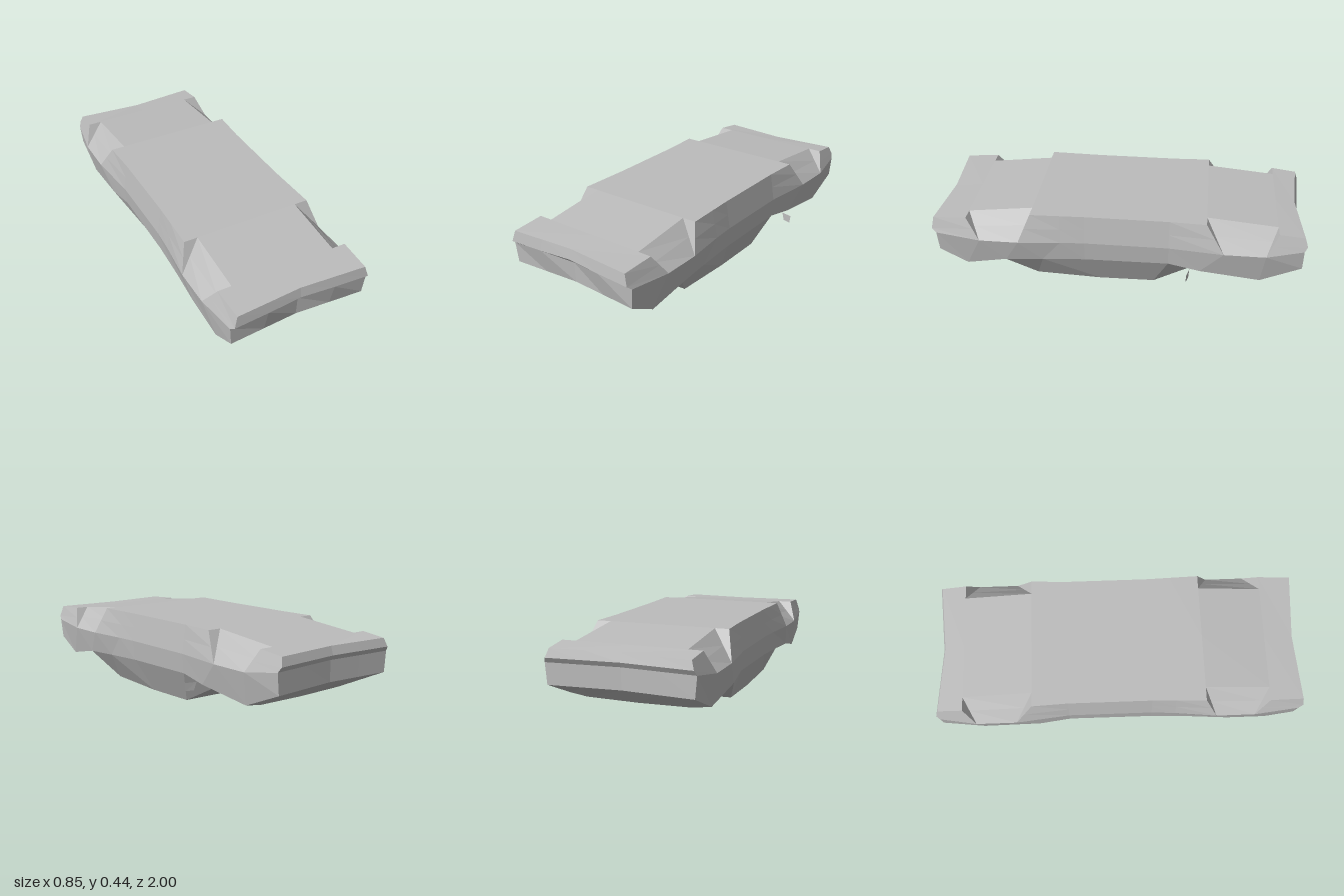
import * as THREE from 'three';

const CX = -0.016; // the body sits slightly off centre because of the side mirror

// Stations from front to back; half sections as corner points [x, y, z]:
// t = sill edge, m = widest line, b = belt line, r = cabin edge
const frontEnd = { t: [0.36, 0.39, 0.99], u: [0.378, 0.33, 1.0], m: [0.388, 0.31, 0.975], b: [0.378, 0.2, 0.97], r: [0.189, 0.2, 0.96], recess: -0.025 };
const rearEnd = { t: [0.36, 0.39, -0.985], u: [0.375, 0.345, -1.0], m: [0.385, 0.32, -0.985], b: [0.375, 0.21, -0.985], r: [0.1875, 0.21, -0.97], recess: 0.03 };
const archFront = { m: [0.411, 0.29, 0.735], b: [0.378, 0.12, 0.82], r: [0.28, 0.12, 0.81] };
const archFrontBack = { m: [0.411, 0.29, 0.525], b: [0.39, 0.165, 0.6], r: [0.28, 0.16, 0.61] };
const archRearFront = { m: [0.411, 0.29, -0.57], b: [0.385, 0.16, -0.45], r: [0.28, 0.15, -0.48] };
const archRear = { m: [0.411, 0.29, -0.79], b: [0.378, 0.12, -0.77], r: [0.28, 0.106, -0.77] };
const stations = [
  frontEnd,
  { t: [0.365, 0.4, 0.81], ...archFront },
  { t: [0.29, 0.4, 0.81], ...archFront }, // wheel arch cut
  { t: [0.29, 0.44, 0.46], ...archFrontBack },
  { t: [0.365, 0.44, 0.46], ...archFrontBack },
  { t: [0.36, 0.44, 0.3], m: [0.388, 0.29, 0.3], b: [0.378, 0.172, 0.4], r: [0.29, 0.02, 0.45] },
  { t: [0.356, 0.44, 0.17], m: [0.38, 0.29, 0.17], b: [0.37, 0.18, 0.17], r: [0.29, 0.006, 0.1] },
  { t: [0.356, 0.44, -0.28], m: [0.38, 0.29, -0.28], b: [0.37, 0.185, -0.28], r: [0.29, 0.01, -0.2] },
  { t: [0.365, 0.44, -0.475], ...archRearFront },
  { t: [0.29, 0.44, -0.475], ...archRearFront }, // wheel arch cut
  { t: [0.29, 0.405, -0.85], ...archRear },
  { t: [0.365, 0.405, -0.85], ...archRear },
  rearEnd,
];

const lerp = (p, q, k) => p.map((v, i) => v + (q[i] - v) * k);
const flip = ([x, y, z]) => [-x, y, z];

// Full closed ring for one station, starting at the sill centre and going down the +x side
function ring(s) {
  const recess = s.recess || 0;
  const top = [0, s.t[1], s.t[2] + recess];
  const bottom = s.recess ? [0, s.b[1], s.b[2] + recess] : [0, s.r[1] - 0.004, s.r[2]];
  const r = s.recess ? lerp(s.b, bottom, 0.5) : s.r;
  const half = [s.t, s.u || lerp(s.t, s.m, 0.5), s.m, s.b, r];
  return [top, ...half, bottom, ...half.slice().reverse().map(flip), top];
}

// Facetted geometry from quads, leaving out collapsed triangles
function facets(quads) {
  const pos = [];
  const tri = new THREE.Triangle();
  for (const [a, b, c, d] of quads) {
    for (const t of [[a, b, c], [a, c, d]]) {
      [tri.a, tri.b, tri.c].forEach((v, i) => v.fromArray(t[i]));
      if (tri.getArea() > 1e-7) pos.push(...t.flat());
    }
  }
  const g = new THREE.BufferGeometry();
  g.setAttribute('position', new THREE.Float32BufferAttribute(pos, 3));
  g.computeVertexNormals();
  return g;
}

function shell() {
  const rings = stations.map(ring);
  const quads = [];
  for (let i = 0; i < rings.length - 1; i++) {
    for (let j = 0; j < rings[i].length - 1; j++) {
      quads.push([rings[i][j], rings[i][j + 1], rings[i + 1][j + 1], rings[i + 1][j]]);
    }
  }
  return facets(quads);
}

// Bumper face: rows from the sill down to the belt, five columns across
function bumper(s, isFront) {
  const rows = [s.t, s.u, s.m, s.b].map((edge) => {
    const mid = [0, edge[1], edge[2] + s.recess];
    const half = lerp(edge, mid, 0.5);
    return [flip(edge), flip(half), mid, half, edge];
  });
  if (isFront) { // the groove closes halfway to each side
    rows[2][1] = rows[1][1];
    rows[2][3] = rows[1][3];
    rows[1][2][1] += 0.005;
  }
  const quads = [];
  for (let r = 0; r < 3; r++) {
    for (let c = 0; c < 4; c++) {
      const q = [rows[r][c], rows[r + 1][c], rows[r + 1][c + 1], rows[r][c + 1]];
      quads.push(isFront ? q : q.reverse());
    }
  }
  return facets(quads);
}

export function createModel() {
  const group = new THREE.Group();
  group.name = 'upturnedCarBody';
  const grey = new THREE.MeshStandardMaterial({ color: 0xbcbcbc, flatShading: true, side: THREE.DoubleSide });
  grey.name = 'plain grey';

  const add = (name, geometry, x = CX) => {
    const mesh = new THREE.Mesh(geometry, grey);
    mesh.name = name;
    mesh.position.x = x;
    group.add(mesh);
  };
  add('bodyShell', shell());
  add('frontBumper', bumper(frontEnd, true));
  add('rearBumper', bumper(rearEnd, false));

  // Single side mirror plate
  add('sideMirror', facets([[
    [0.362, 0.163, -0.396], [0.376, 0.12, -0.392], [0.421, 0.12, -0.38], [0.426, 0.163, -0.38],
  ]]), 0);
  return group;
}
